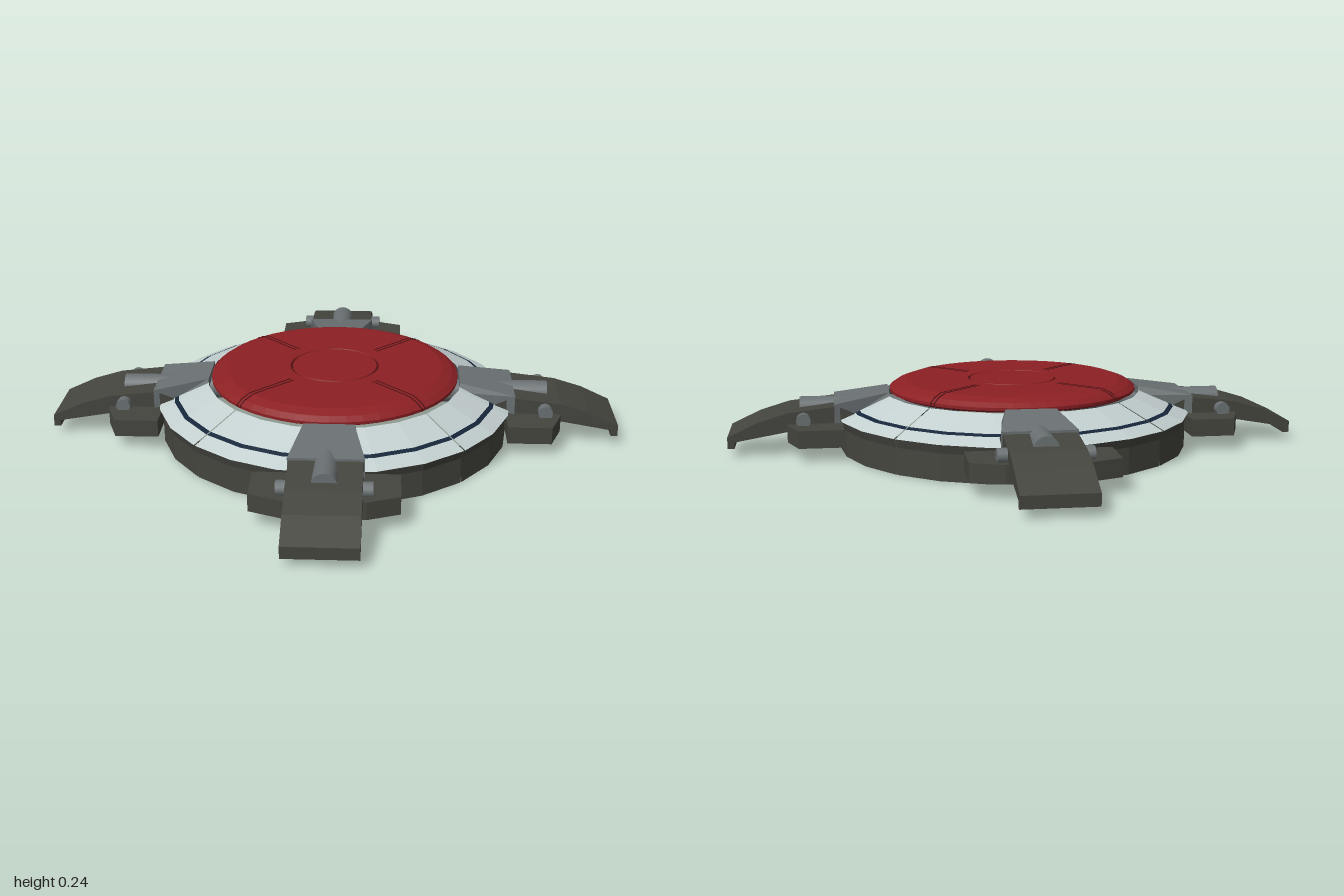
import * as THREE from 'three';

const mat = (color, extra = {}) => new THREE.MeshStandardMaterial({ color, ...extra });
const DS = { side: THREE.DoubleSide };
const FLAT = { flatShading: true, side: THREE.DoubleSide };
const dark = mat(0x45453f, FLAT);
const grey = mat(0x6a7072, FLAT);
const rodGrey = mat(0x6a7072, DS);
const pale = mat(0xc4d0d0, FLAT);
const navy = mat(0x16263a, FLAT);
const red = mat(0x8c2024, FLAT);
const deepRed = mat(0x4c1012, FLAT);

const vecs = (pts) => pts.map(([x, y]) => new THREE.Vector2(x, y));

function add(parent, name, geometry, material) {
  const mesh = new THREE.Mesh(geometry, material);
  mesh.name = name;
  parent.add(mesh);
  return mesh;
}

// Extrude an outline in x/y, centred on z
function slab(pts, width) {
  const g = new THREE.ExtrudeGeometry(new THREE.Shape(vecs(pts)), { depth: width, bevelEnabled: false });
  return g.translate(0, 0, -width / 2);
}

// Quarter turn of a ring, leaving a fine seam at both ends
function quarter(pts) {
  const gap = 0.005;
  return new THREE.LatheGeometry(vecs(pts), 6, Math.PI / 4 + gap, Math.PI / 2 - 2 * gap);
}

// Height of the sloping collar at a radius
const collarY = (r) => 0.12 + (0.625 - r) * 0.42;
const band = (r0, r1) => quarter([[r0, collarY(r0)], [r1, collarY(r1)]]);

function createRingQuarter() {
  const g = new THREE.Group();
  g.name = 'ringQuarter';
  add(g, 'baseWall', quarter([[0.59, 0.12], [0.59, 0], [0.613, 0], [0.613, 0.09], [0.622, 0.12], [0.59, 0.12]]), dark);
  add(g, 'lowerCollar', band(0.625, 0.572), pale);
  add(g, 'collarStripe', band(0.572, 0.557), navy);
  add(g, 'upperCollar', band(0.557, 0.45), pale);
  return g;
}

// Arm pointing along +x
function createArm() {
  const g = new THREE.Group();
  g.name = 'arm';

  // Sloping foot with a downturned lip
  add(g, 'footPlate', slab([
    [0.56, 0.07], [0.78, 0.085], [0.97, 0.052], [0.97, 0.03], [0.993, 0.03],
    [0.993, 0.07], [0.89, 0.118], [0.79, 0.148], [0.62, 0.168], [0.56, 0.14],
  ], 0.236), dark);

  // Tapered bracket over the collar
  const bracket = new THREE.BoxGeometry(1, 1, 1);
  const p = bracket.attributes.position;
  for (let i = 0; i < p.count; i++) {
    const outer = p.getX(i) > 0, top = p.getY(i) > 0, side = Math.sign(p.getZ(i));
    const half = outer ? 0.122 : top ? 0.083 : 0.095;
    const y = outer ? (top ? 0.175 : 0.1) : (top ? 0.206 : 0.175);
    p.setXYZ(i, outer ? 0.63 : 0.44, y, side * half);
  }
  bracket.computeVertexNormals();
  add(g, 'bracket', bracket, grey);

  // Broad pad behind the foot
  const pad = slab([
    [0.6, -0.235], [0.75, -0.235], [0.79, -0.13], [0.79, 0.13], [0.75, 0.235], [0.6, 0.235],
  ], 0.06).rotateX(Math.PI / 2).translate(0, 0.08, 0);
  add(g, 'sidePad', pad, dark);

  // Cross pin and the long radial rod
  add(g, 'hingePin', new THREE.CylinderGeometry(0.025, 0.025, 0.3, 12).rotateX(Math.PI / 2).translate(0.735, 0.125, 0), rodGrey);
  add(g, 'rod', new THREE.CylinderGeometry(0.041, 0.041, 0.55, 20).rotateZ(Math.PI / 2).translate(0.475, 0.143, 0), rodGrey);
  return g;
}

export function createModel() {
  const model = new THREE.Group();
  model.name = 'fourArmedDisc';
  const body = new THREE.Group();
  body.name = 'body';
  body.rotation.y = -0.09;
  model.add(body);

  // Red cap with a bevelled rim and a circular groove
  add(body, 'cap', new THREE.LatheGeometry(vecs([
    [0, 0.19], [0.42, 0.19], [0.435, 0.198], [0.435, 0.208], [0.415, 0.222], [0.38, 0.234],
    [0.157, 0.234], [0.155, 0.229], [0.15, 0.229], [0.148, 0.234], [0, 0.234],
  ]), 48), red);
  add(body, 'capRingLine', new THREE.RingGeometry(0.149, 0.156, 48).rotateX(-Math.PI / 2).translate(0, 0.2295, 0), deepRed);

  for (let i = 0; i < 4; i++) {
    const turn = (i * Math.PI) / 2;
    const ring = createRingQuarter();
    ring.rotation.y = turn;
    const arm = createArm();
    arm.rotation.y = turn;
    body.add(ring, arm);

    // Pair of fine lines running down the rim
    const lines = new THREE.Group();
    lines.name = 'capSeam';
    lines.rotation.y = turn + Math.PI / 4;
    for (const s of [-1, 1]) {
      const line = add(lines, 'capLine', slab([
        [0.2, 0.23], [0.37, 0.23], [0.43, 0.2], [0.437, 0.2], [0.436, 0.2085],
        [0.416, 0.2232], [0.38, 0.2352], [0.2, 0.2352],
      ], 0.004), deepRed);
      line.position.z = s * 0.008;
    }
    body.add(lines);
  }
  return model;
}
